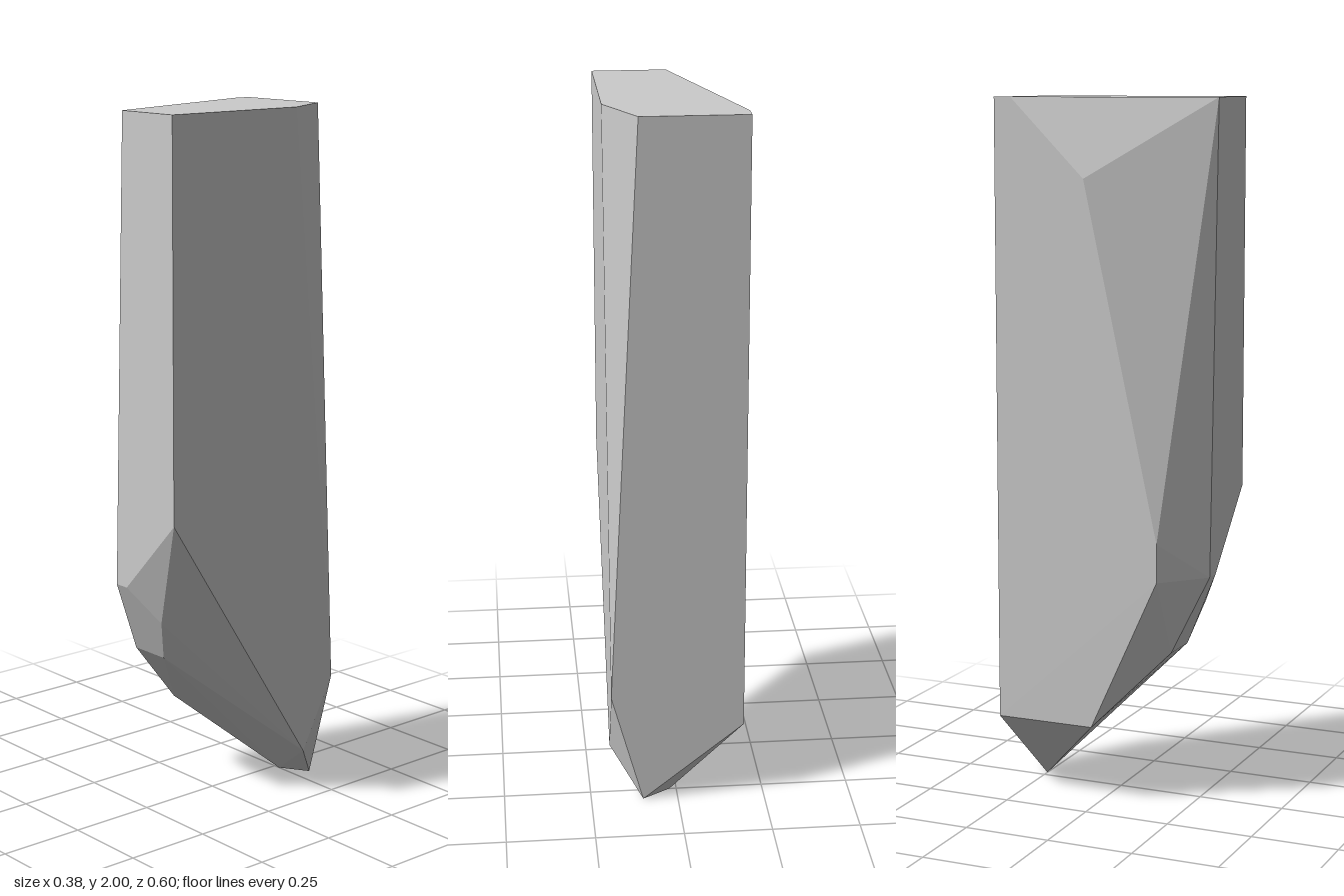
import * as THREE from 'three';
import { ConvexGeometry } from 'three/addons/geometries/ConvexGeometry.js';

// A faceted crystal shard: the convex skin around a few corner points.
export function createModel() {
  const group = new THREE.Group();
  group.name = 'shard';

  // flat top outline as [x, z]
  const top = [[-0.19, -0.3], [0.105, -0.3], [0.19, -0.14], [0.19, 0.3], [-0.02, 0.3], [-0.19, -0.25]];

  // corners of the sides and of the chipped, slanting base
  const lower = [
    [-0.19, 1.78, -0.03], [-0.19, 0.78, 0.19], [-0.19, 0.67, 0.19], // right front bevel
    [-0.065, 0.67, 0.3], [-0.02, 0.67, 0.3], [0.19, 0.89, 0.3],     // end of the front face
    [-0.105, 0.45, 0.2], [0.02, 0.45, 0.2], [0.06, 0.57, 0.24],     // chips above the slope
    [-0.19, 0.23, -0.01], [-0.19, 0.23, -0.3],                      // right end of the slope
    [0.19, 0.12, -0.19], [0.19, 0.33, -0.3],                        // left end of the slope
    [0.02, 0, -0.25], [0.1, 0, -0.3],                               // bottom tip
  ];

  const points = [
    ...top.map(([x, z]) => new THREE.Vector3(x, 2, z)),
    ...lower.map((p) => new THREE.Vector3(...p)),
  ];
  const material = new THREE.MeshStandardMaterial({ color: 0xcccccc, flatShading: true });
  const body = new THREE.Mesh(new ConvexGeometry(points), material);
  body.name = 'shardBody';
  group.add(body);
  return group;
}
